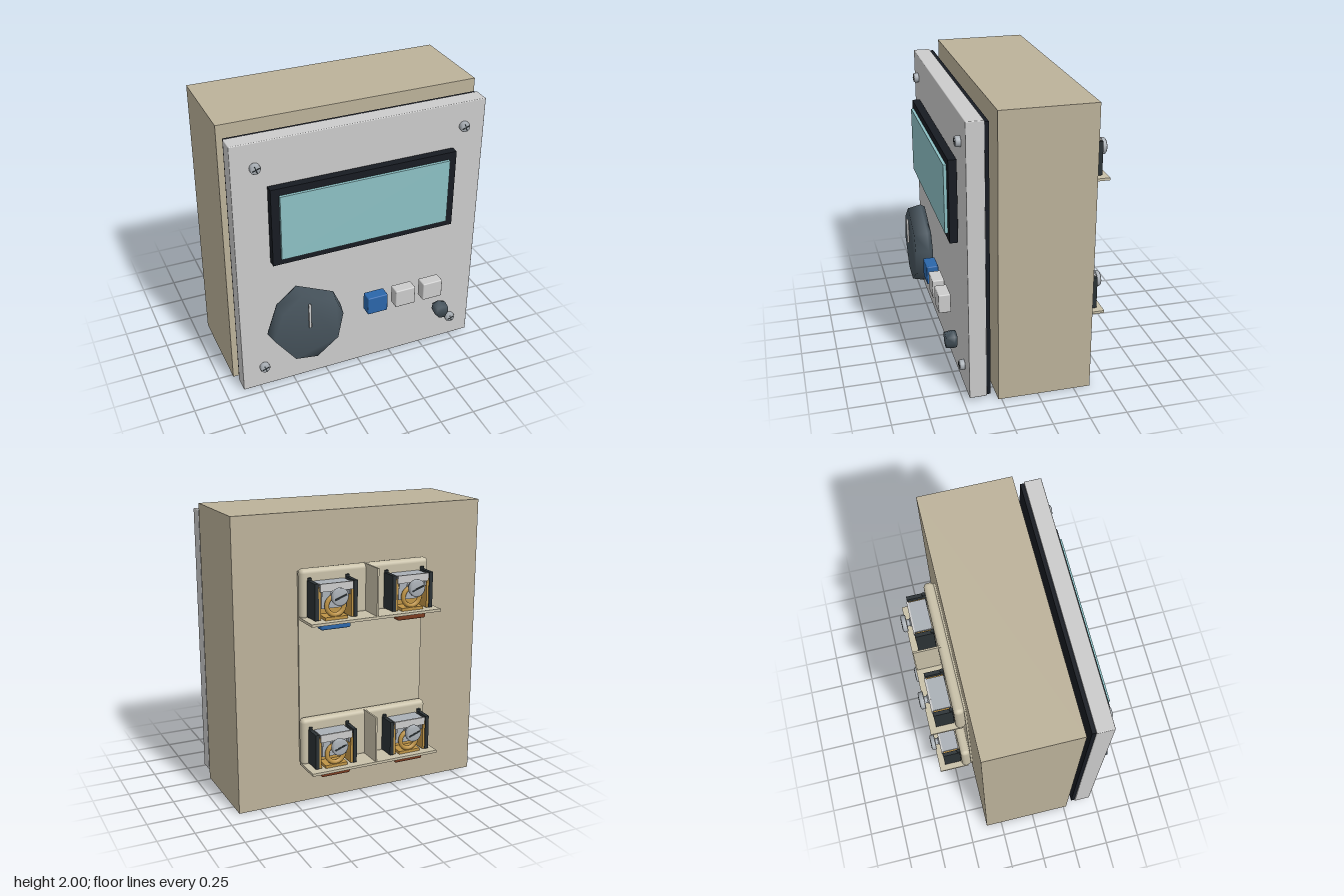
import * as THREE from 'three';
import { RoundedBoxGeometry } from 'three/addons/geometries/RoundedBoxGeometry.js';
import { ConvexGeometry } from 'three/addons/geometries/ConvexGeometry.js';
import { mergeVertices } from 'three/addons/utils/BufferGeometryUtils.js';

const mat = (color) => new THREE.MeshStandardMaterial({ color });
const M = {
  grey: mat(0xcccccc), beige: mat(0xbcb29a), cream: mat(0xc8c0a8), black: mat(0x171b22),
  slate: mat(0x48555e), dark: mat(0x2b3235), glass: mat(0x8cc0c4), blue: mat(0x2a66aa),
  white: mat(0xe4e4e2), gold: mat(0xbf9446), brown: mat(0x7a3b20), steel: mat(0xaab0b6),
};

function add(parent, name, geometry, material, x = 0, y = 0, z = 0) {
  const mesh = new THREE.Mesh(geometry, material);
  mesh.name = name;
  mesh.position.set(x, y, z);
  parent.add(mesh);
  return mesh;
}

// Box given by its limits, optionally with rounded edges
function slab(parent, name, material, [x0, x1], [y0, y1], [z0, z1], r = 0) {
  const size = [x1 - x0, y1 - y0, z1 - z0];
  const geo = r ? new RoundedBoxGeometry(...size, 3, r) : new THREE.BoxGeometry(...size);
  return add(parent, name, geo, material, (x0 + x1) / 2, (y0 + y1) / 2, (z0 + z1) / 2);
}

// Faceted knob: an uneven outline tapering towards the front, softly shaded
function knob(parent, name, outline, cx, cy, z0, z1, taper) {
  const points = [];
  for (const [x, y] of outline) {
    points.push(new THREE.Vector3(x, y, z0 + (z1 - z0) * 0.25));
    points.push(new THREE.Vector3(cx + (x - cx) * taper, cy + (y - cy) * taper, z1));
    points.push(new THREE.Vector3(cx + (x - cx) * 0.93, cy + (y - cy) * 0.93, z0));
  }
  let geo = new ConvexGeometry(points);
  geo.deleteAttribute('normal');
  geo = mergeVertices(geo, 1e-4);
  geo.computeVertexNormals();
  return add(parent, name, geo, M.slate);
}

// Screw head along z; a cross or a single slot on the outer face
function screwHead(parent, name, r, depth, cross) {
  const head = new THREE.Group();
  head.name = name;
  const profile = [[0, 0], [r * 0.96, 0], [r, depth * 0.15], [r, depth * 0.75], [r * 0.85, depth], [0, depth]];
  const geo = new THREE.LatheGeometry(profile.map((p) => new THREE.Vector2(...p)), 20);
  geo.rotateX(Math.PI / 2);
  add(head, 'head', geo, M.steel);
  for (let i = 0; i < (cross ? 2 : 1); i++) {
    const slot = add(head, 'slot', new THREE.BoxGeometry(r * 1.5, r * 0.2, 0.004), M.dark, 0, 0, depth);
    slot.rotation.z = 0.35 + i * Math.PI / 2;
  }
  parent.add(head);
  return head;
}

// One clamp with walls, brass strips, strap and screw, local to its shelf
function terminal(tabMaterial) {
  const g = new THREE.Group();
  g.name = 'terminal';
  for (const s of [-1, 1]) {
    add(g, 'clampWall', new THREE.BoxGeometry(0.026, 0.24, 0.125), M.dark, s * 0.137, 0.145, -0.51);
    add(g, 'brassSide', new THREE.BoxGeometry(0.016, 0.21, 0.115), M.gold, s * 0.115, 0.13, -0.51);
    add(g, 'steelSide', new THREE.BoxGeometry(0.01, 0.07, 0.1), M.steel, s * 0.098, 0.21, -0.515);
    add(g, 'wallPost', new THREE.CylinderGeometry(0.013, 0.013, 0.26, 10), M.dark, s * 0.135, 0.15, -0.455);
  }
  slab(g, 'brassBack', M.gold, [-0.11, 0.11], [0.03, 0.22], [-0.47, -0.45]);
  slab(g, 'clampTop', M.steel, [-0.11, 0.11], [0.245, 0.257], [-0.565, -0.45]);
  slab(g, 'clampLip', M.grey, [-0.115, 0.115], [0.21, 0.262], [-0.578, -0.565]);
  slab(g, 'clampPlate', M.steel, [-0.09, 0.09], [0.09, 0.22], [-0.54, -0.525]);
  add(g, 'brassRing', new THREE.TorusGeometry(0.062, 0.016, 8, 24), M.gold, 0, 0.11, -0.555);
  slab(g, 'brassFoot', M.gold, [-0.08, 0.08], [0.02, 0.04], [-0.575, -0.47]);

  // Threaded shaft and slotted head
  const shaft = add(g, 'screwShaft', new THREE.CylinderGeometry(0.024, 0.024, 0.12, 14), M.steel, 0, 0.18, -0.555);
  shaft.rotation.x = Math.PI / 2;
  for (let i = 0; i < 5; i++)
    add(g, 'thread', new THREE.TorusGeometry(0.025, 0.006, 6, 16), M.steel, 0, 0.18, -0.505 - i * 0.019);
  const head = screwHead(g, 'clampScrew', 0.058, 0.034, false);
  head.position.set(0, 0.18, -0.606);
  head.rotation.y = Math.PI;

  // Coloured marker under the shelf
  slab(g, 'markerTab', tabMaterial, [-0.105, 0.105], [-0.045, 0.005], [-0.568, -0.5], 0.012);
  return g;
}

// Pair of clamps on a moulded holder
function terminalBlock(y, leftTab, rightTab) {
  const g = new THREE.Group();
  g.name = 'terminalBlock';
  slab(g, 'holderBack', M.cream, [-0.47, 0.47], [0, 0.335], [-0.445, -0.375], 0.03);
  slab(g, 'shelf', M.cream, [-0.47, 0.47], [0, 0.018], [-0.617, -0.4]);
  const s = new THREE.Shape();
  s.moveTo(0.42, 0.01).lineTo(0.61, 0.01).lineTo(0.61, 0.335).lineTo(0.42, 0.335);
  const fin = new THREE.ExtrudeGeometry(s, { depth: 0.012, bevelEnabled: false });
  fin.rotateY(Math.PI / 2);
  add(g, 'divider', fin, M.cream, -0.006, 0, 0);
  for (const [x, tab] of [[0.278, leftTab], [-0.278, rightTab]]) {
    const t = terminal(tab);
    t.position.x = x;
    g.add(t);
  }
  g.position.y = y;
  return g;
}

export function createModel() {
  const model = new THREE.Group();
  model.name = 'controlBox';

  // Housing, seal and front plate
  slab(model, 'housing', M.beige, [-0.9, 0.9], [0, 2], [-0.365, 0.272]);
  slab(model, 'seal', M.black, [-0.872, 0.872], [0.035, 1.93], [0.318, 0.345]);
  slab(model, 'frontPlate', M.grey, [-0.88, 0.88], [0.027, 1.94], [0.345, 0.462], 0.006);

  // Spacers between housing and plate
  for (const [y0, y1, z1] of [[0.48, 0.9, 0.335], [0.9, 1.065, 0.305], [1.22, 1.37, 0.305]])
    slab(model, 'spacer', M.black, [0.21, 0.55], [y0, y1], [0.265, z1]);

  // Display: frame with glass pane
  const frame = new THREE.Shape();
  frame.moveTo(-0.65, 1.06).lineTo(0.65, 1.06).lineTo(0.65, 1.625).lineTo(-0.65, 1.625);
  const hole = new THREE.Path();
  hole.moveTo(-0.595, 1.108).lineTo(-0.595, 1.575).lineTo(0.595, 1.575).lineTo(0.595, 1.108);
  frame.holes.push(hole);
  add(model, 'displayFrame', new THREE.ExtrudeGeometry(frame, { depth: 0.055, bevelEnabled: false }), M.black, 0, 0, 0.47);
  slab(model, 'displayGlass', M.glass, [-0.595, 0.595], [1.108, 1.575], [0.475, 0.545]);

  // Dial with pointer, and small knob
  knob(model, 'dial', [[-0.49, 0.855], [-0.23, 0.735], [-0.175, 0.61], [-0.215, 0.4],
    [-0.38, 0.272], [-0.55, 0.3], [-0.71, 0.515], [-0.64, 0.73]], -0.46, 0.56, 0.488, 0.615, 0.93);
  slab(model, 'dialPointer', M.white, [-0.452, -0.434], [0.572, 0.765], [0.622, 0.64], 0.006);
  knob(model, 'smallKnob', [[0.605, 0.39], [0.66, 0.372], [0.662, 0.325], [0.635, 0.275],
    [0.58, 0.285], [0.558, 0.33], [0.565, 0.375]], 0.61, 0.33, 0.49, 0.566, 0.88);

  // Push buttons
  [M.blue, M.white, M.white].forEach((m, i) =>
    slab(model, 'pushButton', m, [i * 0.212, i * 0.212 + 0.149], [0.515, 0.65], [0.512, 0.595], 0.008));

  // Plate screws
  for (const x of [-0.725, 0.725])
    for (const y of [0.195, 1.77])
      screwHead(model, 'plateScrew', 0.035, 0.037, true).position.set(x, y, 0.46);

  // Rear panel and terminal blocks
  slab(model, 'rearPanel', M.cream, [-0.46, 0.46], [0.3, 1.62], [-0.378, -0.36]);
  model.add(terminalBlock(0.29, M.brown, M.brown), terminalBlock(1.308, M.blue, M.brown));
  return model;
}
